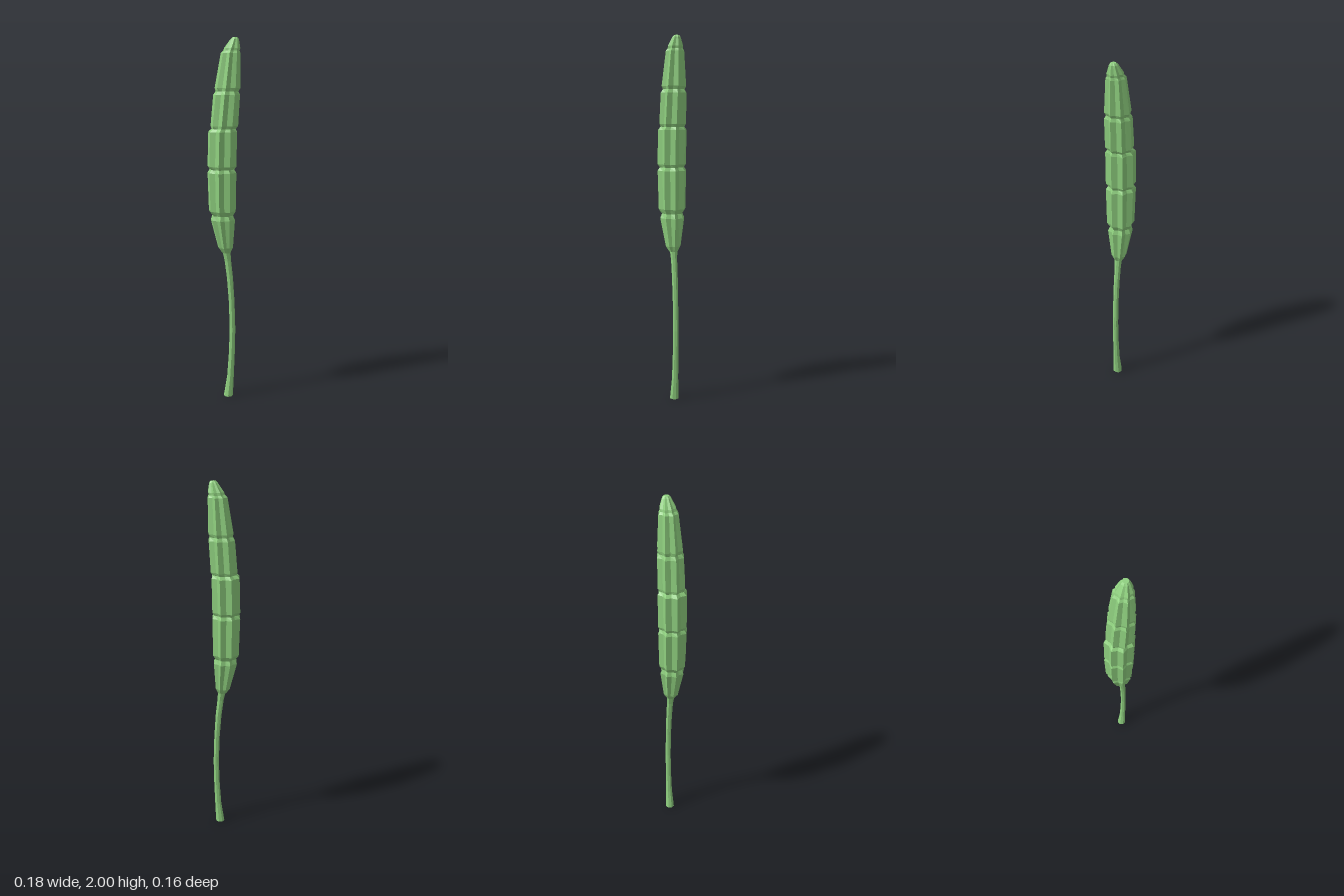
import * as THREE from 'three';

// Skins rings [y, centreX, radius, valley ratio, twist in degrees] with capped ends.
function loft(name, rings, sides, material) {
  const pos = [], index = [];
  for (const [y, cx, r, valley = 1, twist = 0] of rings) {
    for (let j = 0; j < sides; j++) {
      const a = (j / sides) * Math.PI * 2 + THREE.MathUtils.degToRad(twist);
      const rr = j % 2 ? r * valley : r;
      pos.push(cx + rr * Math.cos(a), y, rr * Math.sin(a));
    }
  }
  const last = rings.length - 1;
  for (let i = 0; i < last; i++) {
    for (let j = 0; j < sides; j++) {
      const k = (j + 1) % sides;
      const a = i * sides + j, b = i * sides + k;
      index.push(a, a + sides, b + sides, a, b + sides, b);
    }
  }
  // End caps
  const bottom = pos.length / 3, top = bottom + 1;
  pos.push(rings[0][1], rings[0][0], 0, rings[last][1], rings[last][0], 0);
  for (let j = 0; j < sides; j++) {
    const k = (j + 1) % sides;
    index.push(bottom, j, k, top, last * sides + k, last * sides + j);
  }
  const geometry = new THREE.BufferGeometry();
  geometry.setAttribute('position', new THREE.Float32BufferAttribute(pos, 3));
  geometry.setIndex(index);
  const flat = geometry.toNonIndexed();
  flat.computeVertexNormals();
  const mesh = new THREE.Mesh(flat, material);
  mesh.name = name;
  return mesh;
}

export function createModel() {
  const group = new THREE.Group();
  group.name = 'plantSpike';
  const green = new THREE.MeshStandardMaterial({ color: 0x8fd07f, flatShading: true });

  // Curved stem, flared slightly at the foot and under the head
  group.add(loft('stem', [
    [0, 0.025, 0.026], [0.12, 0.037, 0.019], [0.25, 0.044, 0.017], [0.4, 0.048, 0.016],
    [0.56, 0.043, 0.016], [0.7, 0.033, 0.017], [0.8, 0.021, 0.018], [0.86, 0.012, 0.023],
  ], 8, green));

  // Ribbed head: eight-pointed star sections, pinched between segments
  group.add(loft('head', [
    [0.845, 0.012, 0.024, 0.9, 7],
    [0.875, 0.008, 0.042, 0.82, 7],
    [1.03, -0.007, 0.068, 0.8, 7], [1.055, -0.008, 0.058, 0.85, 7], [1.08, -0.01, 0.075, 0.8, 7],
    [1.29, -0.012, 0.08, 0.8, 7], [1.308, -0.012, 0.068, 0.85, 7], [1.325, -0.012, 0.08, 0.8, 7],
    [1.51, -0.008, 0.079, 0.8, 7], [1.526, -0.003, 0.066, 0.85, 6], [1.542, 0.001, 0.075, 0.8, 5],
    [1.705, 0.013, 0.072, 0.8, 3], [1.723, 0.015, 0.061, 0.85, 3], [1.74, 0.018, 0.069, 0.8, 2],
    [1.92, 0.034, 0.052, 0.8, 0], [1.932, 0.038, 0.043, 0.85, 0], [1.945, 0.042, 0.043, 0.82, 0],
    [1.99, 0.055, 0.023, 0.85, 0], [2, 0.057, 0.014, 0.9, 0],
  ], 16, green));

  return group;
}
